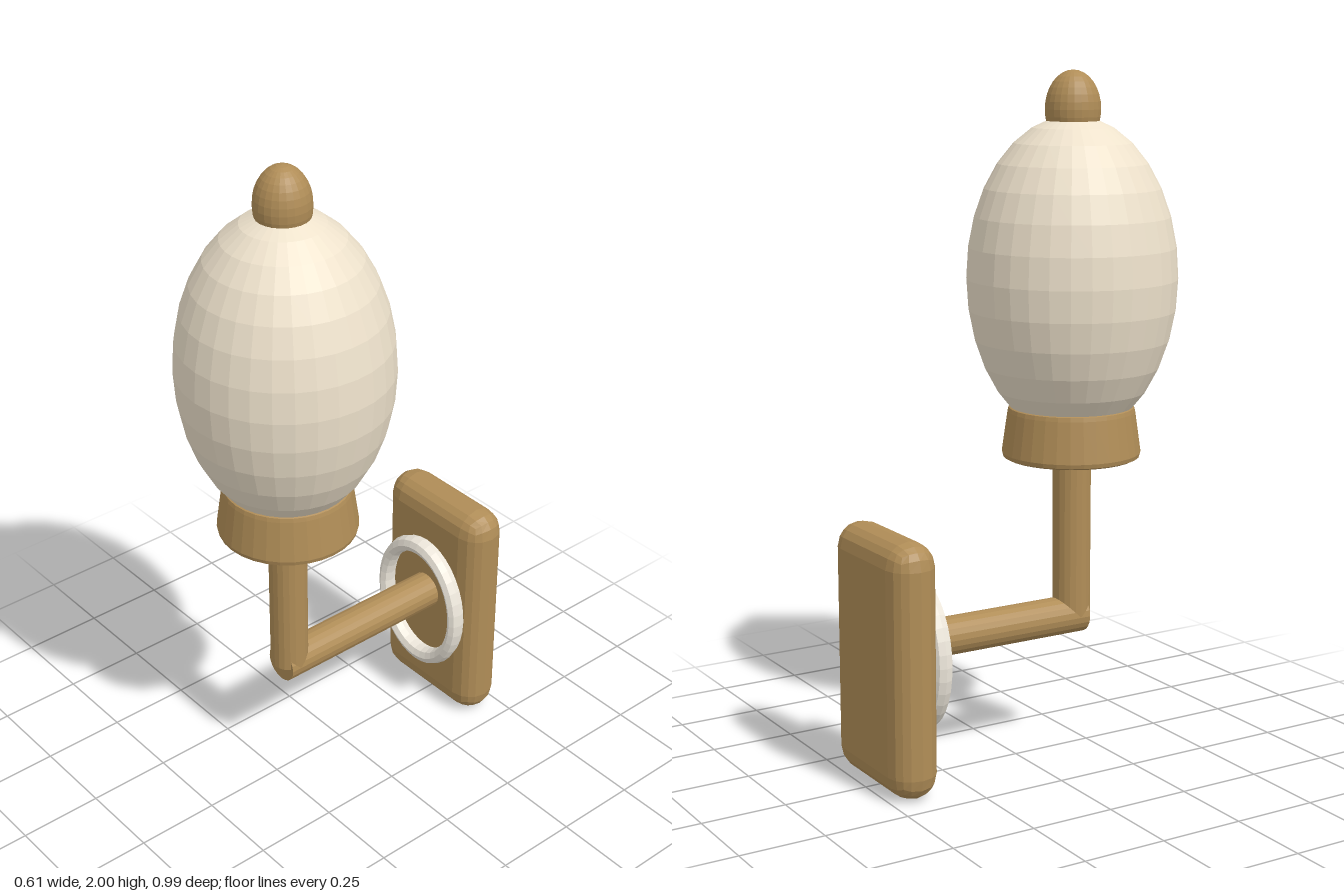
import * as THREE from 'three';
import { RoundedBoxGeometry } from 'three/addons/geometries/RoundedBoxGeometry.js';

export function createModel() {
  const group = new THREE.Group();
  const material = (color) => new THREE.MeshStandardMaterial({ color, flatShading: true });
  const brass = material(0xb08d57);
  const cream = material(0xeee2cc);
  const pale = material(0xeee8dc);
  const lampZ = 0.19;

  function add(name, geometry, mat, x, y, z) {
    const mesh = new THREE.Mesh(geometry, mat);
    mesh.name = name;
    mesh.position.set(x, y, z);
    group.add(mesh);
    return mesh;
  }

  // Wall plate with rounded edges
  add('wallPlate', new RoundedBoxGeometry(0.414, 0.74, 0.145, 2, 0.072), brass, 0, 0.372, -0.427);

  // Oval trim ring on the plate
  const ring = new THREE.TorusGeometry(0.159, 0.021, 8, 36);
  ring.scale(1, 1.265, 1.35);
  add('trimRing', ring, pale, 0, 0.373, -0.333);

  // Horizontal arm and upright stem
  const arm = new THREE.CylinderGeometry(0.056, 0.056, 0.595, 20);
  arm.rotateX(Math.PI / 2);
  add('arm', arm, brass, 0, 0.405, -0.073);
  add('stem', new THREE.CylinderGeometry(0.056, 0.056, 0.5, 20), brass, 0, 0.657, lampZ + 0.003);

  // Flared cup under the globe
  const cupProfile = [[0, 0.885], [0.19, 0.885], [0.2, 0.89], [0.203, 0.902], [0.186, 1.022],
    [0.183, 1.034], [0.175, 1.038], [0, 1.038]].map(([r, y]) => new THREE.Vector2(r, y));
  add('cup', new THREE.LatheGeometry(cupProfile, 32), brass, 0, 0, lampZ);

  // Egg-shaped globe
  const globe = new THREE.SphereGeometry(0.305, 32, 16);
  globe.scale(1, 1.52, 1);
  add('globe', globe, cream, 0, 1.41, lampZ);

  // Domed finial
  const finial = new THREE.SphereGeometry(0.08, 24, 16);
  finial.scale(1, 1.375, 1);
  add('finial', finial, brass, 0, 1.89, lampZ);

  return group;
}
